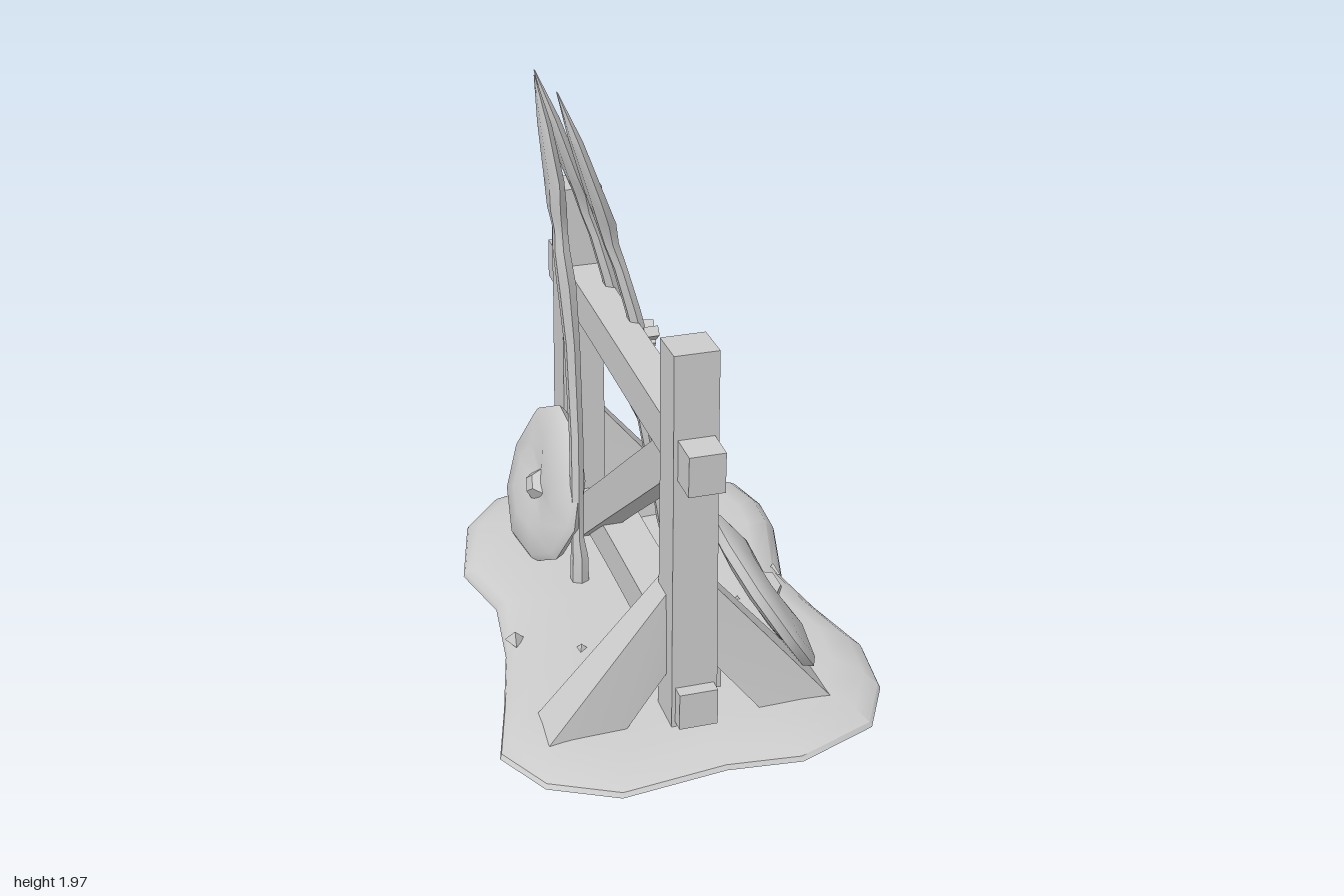
import * as THREE from 'three';
import { toCreasedNormals } from 'three/addons/utils/BufferGeometryUtils.js';

const stone = new THREE.MeshStandardMaterial({ color: 0xcccccc });
stone.name = 'plain grey';
const V = (a) => new THREE.Vector3(...a);

function part(group, name, geometry, crease = 0.6) {
  const mesh = new THREE.Mesh(toCreasedNormals(geometry, crease), stone);
  mesh.name = name;
  group.add(mesh);
  return mesh;
}

// squared timber between two points; w across the frame (x), d the other way
function beam(group, name, from, to, w, d, taper = 1) {
  const a = V(from), b = V(to), dir = b.clone().sub(a);
  const geo = new THREE.BoxGeometry(w, dir.length(), d, 1, 3, 1);
  const p = geo.attributes.position, half = dir.length() / 2;
  for (let i = 0; i < p.count; i++) {
    const t = (p.getY(i) + half) / (2 * half);
    const k = THREE.MathUtils.lerp(1, taper, t) * (1 + 0.04 * Math.sin(t * 9));
    p.setX(i, p.getX(i) * k);
    p.setZ(i, p.getZ(i) * k);
  }
  dir.normalize();
  const xAxis = V([1, 0, 0]).addScaledVector(dir, -dir.x).normalize();
  geo.applyMatrix4(new THREE.Matrix4().makeBasis(xAxis, dir, xAxis.clone().cross(dir)));
  geo.translate(...a.add(b).multiplyScalar(0.5).toArray());
  part(group, name, geo);
}

// skin through closed rings, listed bottom to top, each anticlockwise from above
function loft(rings) {
  const n = rings[0].length, pos = rings.flat(2), idx = [];
  for (let r = 0; r < rings.length - 1; r++) {
    for (let i = 0; i < n; i++) {
      const a = r * n + i, b = r * n + (i + 1) % n;
      idx.push(a, b, a + n, b, b + n, a + n);
    }
  }
  const top = (rings.length - 1) * n;
  for (let i = 1; i < n - 1; i++) idx.push(0, i + 1, i, top, top + i, top + i + 1);
  const geo = new THREE.BufferGeometry();
  geo.setAttribute('position', new THREE.Float32BufferAttribute(pos, 3));
  geo.setIndex(idx);
  return geo;
}

// spear from sections of x, y, z, half thickness, half width
function spear(group, name, sections) {
  const rings = sections.map(([x, y, z, rx, rz]) => Array.from({ length: 6 }, (_, i) => {
    const a = (i * Math.PI) / 3;
    return [x + rx * Math.sin(a), y, z + rz * Math.cos(a)];
  }));
  part(group, name, loft(rings), 0.7);
}

// slanted leg with a flat foot on the ground and an upright joint at the post
function leg(group, side, z) {
  const corner = (x, y, dz) => [-0.035 + side * x, y, z + dz];
  const foot = [corner(0.24, 0.05, 0.09), corner(0.49, 0.05, 0.09), corner(0.49, 0.05, -0.09), corner(0.24, 0.05, -0.09)];
  const joint = [corner(0.06, 0.27, 0.06), corner(0.06, 0.56, 0.05), corner(0.06, 0.56, -0.05), corner(0.06, 0.27, -0.06)];
  const rings = [foot, joint];
  if (side < 0) rings.forEach((r) => r.reverse());
  part(group, 'splayed leg', loft(rings), 0.4);
}

function shield(group, name, centre, normal, radius) {
  const g = new THREE.Group();
  g.name = name;
  const profile = [[0, -0.03], [0.6, -0.04], [0.93, -0.03], [1, 0], [0.92, 0.02], [0.55, 0.045], [0.2, 0.035], [0, 0.035]];
  const disc = new THREE.LatheGeometry(profile.map(([r, y]) => new THREE.Vector2(r * radius, y)), 10);
  const p = disc.attributes.position;
  for (let i = 0; i < p.count; i++) {
    const a = Math.atan2(p.getX(i), p.getZ(i));
    const k = 1 + 0.025 * Math.sin(a * 3 + 1);
    p.setXYZ(i, p.getX(i) * k, p.getY(i) + 0.008 * Math.sin(a * 2), p.getZ(i) * k);
  }
  part(g, 'shield disc', disc, 0.7);
  const boss = part(g, 'shield boss', new THREE.CylinderGeometry(0.035, 0.075, 0.04, 4), 0.3);
  boss.position.y = 0.045;
  g.position.set(...centre);
  g.quaternion.setFromUnitVectors(V([0, 1, 0]), V(normal).normalize());
  group.add(g);
}

export function createModel() {
  const model = new THREE.Group();
  model.name = 'weapon rack';

  // earth mound, higher towards the back left corner
  const outline = [
    [-0.15, -1], [0.41, -0.95], [0.62, -0.78], [0.66, -0.6], [0.65, -0.42], [0.56, -0.08], [0.6, 0.15],
    [0.67, 0.43], [0.64, 0.67], [0.53, 0.87], [0.25, 0.98], [0, 0.95], [-0.36, 0.99], [-0.58, 0.87],
    [-0.68, 0.67], [-0.6, 0.4], [-0.52, 0.1], [-0.48, -0.2], [-0.54, -0.46], [-0.45, -0.79], [-0.3, -0.96],
  ].reverse();
  // each level: scale of the outline, height, tilt, size of the bump
  const levels = [
    [0.01, 0.005, 0, 0], [0.8, 0.006, 0, 0], [1, 0.02, 0.015, 0], [0.99, 0.035, 0.015, 0.005],
    [0.93, 0.06, 0.02, 0.02], [0.8, 0.08, 0.02, 0.03], [0.4, 0.08, 0.005, 0.01], [0.01, 0.075, 0, 0],
  ];
  part(model, 'ground', loft(levels.map(([s, y, tilt, bump]) => outline.map(([x, z]) =>
    [x * s, y + tilt * (x - z * 0.5) + bump * Math.exp(-8 * ((x - 0.65) ** 2 + (z + 0.5) ** 2)), z * s]))), 0.6);

  // loose stones
  for (const [x, z, s] of [[-0.48, 0.08, 0.04], [-0.28, 0.22, 0.04], [0.33, 0.08, 0.045], [0.53, -0.1, 0.035], [-0.1, -0.86, 0.05], [-0.22, -0.84, 0.05]]) {
    const pebble = part(model, 'stone', new THREE.ConeGeometry(s, s, 3), 0.1);
    pebble.position.set(x, 0.075, z);
    pebble.rotation.y = x * 9;
  }

  // posts and rails
  beam(model, 'front post', [-0.045, 0.05, 0.67], [-0.045, 1.4, 0.66], 0.155, 0.15, 0.94);
  beam(model, 'back post', [-0.045, 0.05, -0.64], [-0.045, 1.44, -0.64], 0.155, 0.14, 0.95);
  beam(model, 'top rail', [-0.045, 1.04, 0.845], [-0.045, 1.085, -0.815], 0.12, 0.14);
  beam(model, 'bottom rail', [0.02, 0.16, 0.6], [0.02, 0.175, -0.6], 0.15, 0.14);
  beam(model, 'front rail end', [-0.045, 0.15, 0.79], [-0.045, 0.15, 0.6], 0.13, 0.13);
  beam(model, 'back rail end', [-0.045, 0.15, -0.81], [-0.045, 0.15, -0.6], 0.13, 0.13);
  beam(model, 'diagonal brace', [-0.045, 1.0, 0.6], [-0.03, 0.13, -0.56], 0.1, 0.14);

  // splayed legs; the side shield takes the place of the fourth
  for (const [side, z] of [[-1, 0.62], [1, 0.645], [1, -0.65]]) leg(model, side, z);

  // spears leaning on the top rail
  for (const [z, drop, name] of [[-0.11, 0, 'front spear'], [-0.4, 0.02, 'back spear']]) {
    spear(model, name, [
      [0.24, 0.07, z - 0.02, 0.035, 0.032], [0.22, 0.16, z - 0.02, 0.035, 0.038], [0.2, 0.21, z - 0.01, 0.022, 0.026],
      [0.12, 0.65, z, 0.024, 0.03], [0.04, 1.02, z, 0.027, 0.033], [0.0, 1.18, z, 0.027, 0.037],
      [-0.04, 1.33, z - 0.01, 0.025, 0.035], [-0.07, 1.42, z - 0.01, 0.028, 0.025],
      [-0.09, 1.5, z, 0.035, 0.04], [-0.125, 1.6 - drop, z, 0.03, 0.073],
      [-0.19, 1.8 - drop, z, 0.022, 0.045], [-0.25, 1.97 - drop, z, 0.002, 0.003],
    ]);
  }
  spear(model, 'side spear', [
    [-0.165, 0.07, -0.22, 0.035, 0.032], [-0.165, 0.18, -0.22, 0.032, 0.034], [-0.17, 0.25, -0.225, 0.024, 0.026],
    [-0.165, 0.65, -0.245, 0.025, 0.032], [-0.17, 1.0, -0.265, 0.028, 0.034], [-0.185, 1.22, -0.27, 0.034, 0.037],
    [-0.2, 1.35, -0.275, 0.03, 0.032], [-0.2, 1.42, -0.285, 0.026, 0.026], [-0.21, 1.5, -0.285, 0.033, 0.045],
    [-0.215, 1.6, -0.3, 0.03, 0.074], [-0.24, 1.79, -0.315, 0.022, 0.047], [-0.27, 1.96, -0.32, 0.002, 0.003],
  ]);

  // lashings where the spears cross the rail
  for (const z of [-0.09, -0.37]) {
    beam(model, 'lashing', [0.045, 1.12, z + 0.06], [0.055, 1.04, z - 0.05], 0.05, 0.035);
    beam(model, 'lashing', [0.045, 1.05, z + 0.02], [0.06, 1.1, z - 0.06], 0.05, 0.03);
  }

  // shields propped against the rack
  shield(model, 'front shield', [0.28, 0.35, 0.46], [0.87, 0.49, 0], 0.315);
  shield(model, 'back shield', [0.28, 0.37, -0.56], [0.87, 0.49, 0], 0.32);
  shield(model, 'side shield', [-0.22, 0.34, -0.48], [-0.95, 0.27, 0.12], 0.295);

  return model;
}
